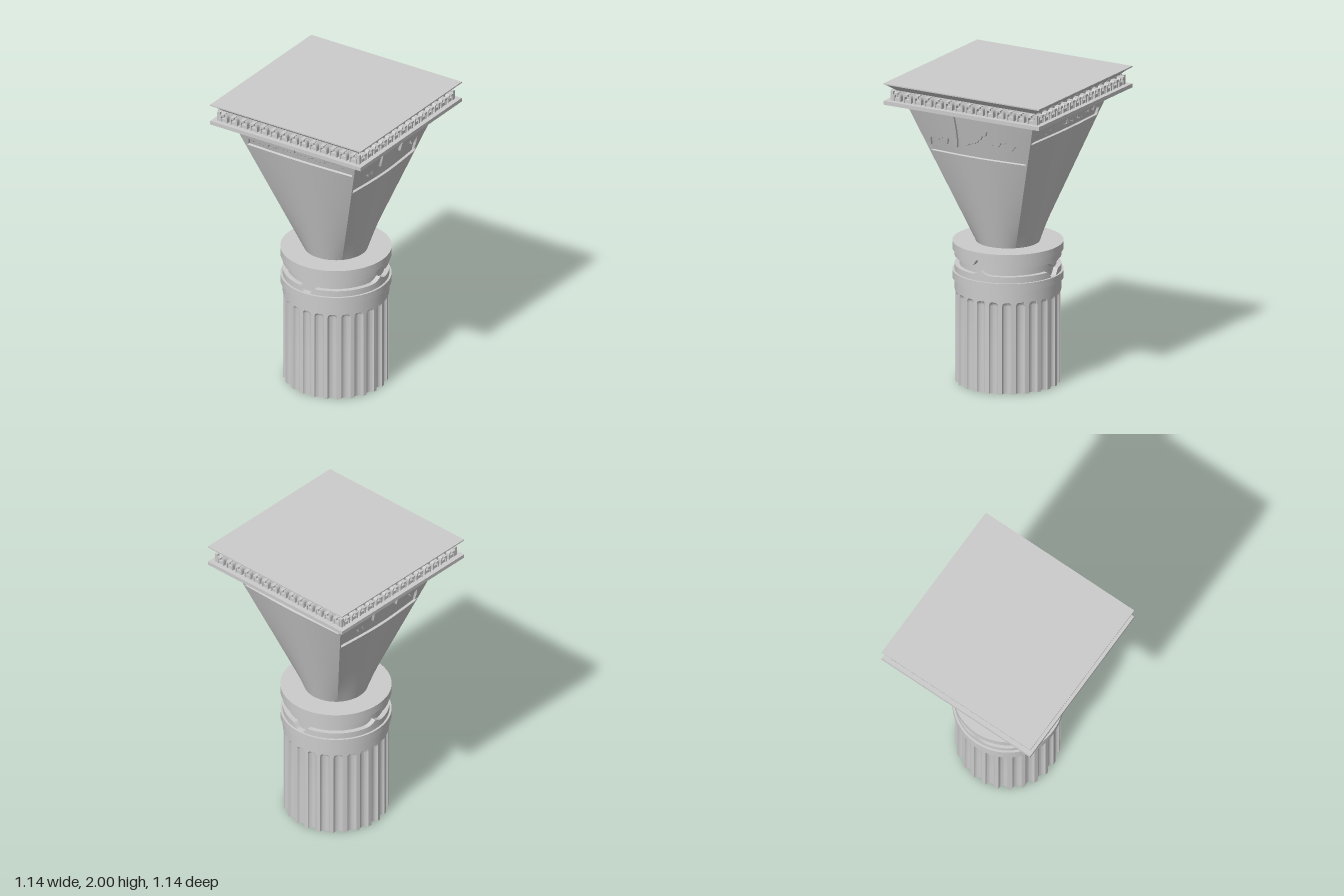
import * as THREE from 'three';
import { mergeGeometries, toCreasedNormals } from 'three/addons/utils/BufferGeometryUtils.js';

const grey = new THREE.MeshStandardMaterial({ color: 0xcccccc });

function add(parent, name, geometry, y = 0) {
  const mesh = new THREE.Mesh(geometry, grey);
  mesh.name = name;
  mesh.position.y = y;
  parent.add(mesh);
  return mesh;
}

// Surface through rows x cols points given by at(row, col); columns run counter-clockwise seen from above
function loft(rows, cols, at, crease = 0.6) {
  const pos = [], index = [];
  for (let i = 0; i < rows; i++) for (let j = 0; j < cols; j++) pos.push(...at(i, j));
  for (let i = 0; i < rows - 1; i++) {
    for (let j = 0; j < cols - 1; j++) {
      const a = i * cols + j, b = a + 1, d = a + cols, c = d + 1;
      index.push(a, b, c, a, c, d);
    }
  }
  const g = new THREE.BufferGeometry();
  g.setAttribute('position', new THREE.Float32BufferAttribute(pos, 3));
  g.setIndex(index);
  return toCreasedNormals(g, crease);
}

const polar = (r, y, a) => [r * Math.sin(a), y, r * Math.cos(a)];

// Piecewise linear lookup in [x, y] pairs
function lookup(points, x) {
  if (x <= points[0][0]) return points[0][1];
  for (let i = 1; i < points.length; i++) {
    const [x0, y0] = points[i - 1], [x1, y1] = points[i];
    if (x <= x1) return y0 + (y1 - y0) * (x - x0) / (x1 - x0);
  }
  return points[points.length - 1][1];
}

// Shaft with round-topped flutes
function flutedShaft() {
  const R = 0.33, N = 24, half = 0.03, step = Math.PI * 2 / N;
  const offs = [-0.5, -0.35, -0.32, -0.26, -0.18, -0.09, 0, 0.09, 0.18, 0.26, 0.32, 0.35];
  const ys = [0, 0, 0.3, 0.57, 0.577, 0.583, 0.588, 0.592, 0.595, 0.598, 0.6, 0.61];
  return loft(ys.length, N * offs.length + 1, (i, j) => {
    if (i === 0) return [0, 0, 0];
    const off = offs[j % offs.length];
    const arc = off * step * R, up = Math.max(0, ys[i] - 0.57);
    const depth = 0.75 * Math.sqrt(Math.max(0, half * half - arc * arc - up * up));
    return polar(R - depth, ys[i], (Math.floor(j / offs.length) + off) * step);
  });
}

// Raised collar whose bottom and top edges vary with the angle
function band(bottom, top) {
  const n = 288, radii = [0.3, 0.336, 0.336, 0.3];
  return loft(4, n + 1, (i, j) => {
    const a = j / n * Math.PI * 2;
    return polar(radii[i], i < 2 ? bottom(a) : top(a), a);
  });
}
// Arc distance to the nearest point on the z axis, or on the x axis
const fromZ = a => 0.336 * Math.abs(Math.asin(Math.sin(a)));
const fromX = a => 0.336 * Math.abs(Math.asin(Math.cos(a)));
const cusp = d => Math.max(0, 1 - d / 0.08) ** 2;
const opening = d => 1 - THREE.MathUtils.smoothstep(d, 0.02, 0.065);

// Skyline outlines as [position, height]
const tallSkyline = [[-.36, 1.59], [-.34, 1.645], [-.3, 1.63], [-.26, 1.655], [-.245, 1.61], [-.22, 1.66], [-.2, 1.61],
  [-.165, 1.6], [-.15, 1.66], [-.138, 1.74], [-.133, 1.83], [-.122, 1.83], [-.117, 1.74], [-.112, 1.635], [-.08, 1.62],
  [-.05, 1.64], [0, 1.65], [.02, 1.66], [.06, 1.69], [.08, 1.715], [.105, 1.715], [.11, 1.75], [.127, 1.75],
  [.132, 1.66], [.17, 1.66], [.19, 1.645], [.215, 1.68], [.25, 1.685], [.29, 1.64], [.32, 1.68], [.34, 1.63], [.36, 1.57]];
const lowSkyline = [[-.41, 1.7], [-.385, 1.75], [-.31, 1.745], [-.27, 1.735], [-.24, 1.765], [-.22, 1.745], [-.17, 1.765],
  [-.1, 1.755], [-.03, 1.755], [-.02, 1.79], [-.005, 1.75], [.06, 1.76], [.1, 1.745], [.14, 1.765], [.18, 1.745],
  [.23, 1.75], [.26, 1.775], [.3, 1.765], [.34, 1.78], [.35, 1.755], [.4, 1.76], [.41, 1.72]];

// One side of the circle-to-square funnel, with a recess from a ledge up to the skyline
function funnelSide(ledge, skyline, width, rough) {
  const y0 = 0.915, y1 = 1.87, cols = 181, lower = 9;
  return loft(lower + 4, cols, (i, j) => {
    const u = j / (cols - 1) * 2 - 1, a = u * Math.PI / 4;
    const jag = rough * (Math.sin(j * 2.3) + Math.sin(j * 0.9));
    const sky = Math.max(ledge + 0.012, lookup(skyline, u * width) + jag);
    const y = i < lower ? y0 + (ledge - y0) * i / (lower - 1) : [ledge + 0.004, sky, sky, y1][i - lower];
    const t = (y - y0) / (y1 - y0);
    const inset = (i === lower || i === lower + 1) && Math.abs(u) < 0.975 ? 0.018 : 0;
    return [
      THREE.MathUtils.lerp(0.2 * Math.sin(a), 0.47 * Math.tan(a), t), y,
      THREE.MathUtils.lerp(0.2 * Math.cos(a), 0.47, t) - inset
    ];
  }, 0.5);
}

// Row of small arched niches along one side of the cap
function archRow() {
  const shape = new THREE.Shape();
  shape.moveTo(-0.028, 0).lineTo(-0.028, 0.032).absarc(0, 0.032, 0.028, Math.PI, 0, true);
  shape.lineTo(0.028, 0).lineTo(0.018, 0).lineTo(0.018, 0.03).absarc(0, 0.03, 0.018, 0, Math.PI, false);
  shape.lineTo(-0.018, 0);
  const parts = [];
  for (let i = 0; i < 14; i++) {
    const x = (i - 6.5) * 0.0755;
    parts.push(
      new THREE.ExtrudeGeometry(shape, { depth: 0.04, bevelEnabled: false, curveSegments: 6 })
        .toNonIndexed?.().translate(x, 1.884, 0.5),
      new THREE.BoxGeometry(0.034, 0.022, 0.03).toNonIndexed().translate(x, 1.895, 0.52),
      new THREE.BoxGeometry(0.026, 0.014, 0.05).toNonIndexed().translate(x, 1.938, 0.53)
    );
  }
  return mergeGeometries(parts);
}

export function createModel() {
  const model = new THREE.Group();
  model.name = 'columnWithFlaredCapital';

  // Column
  add(model, 'flutedShaft', flutedShaft());
  const disc = (name, r, from, to) =>
    add(model, name, new THREE.CylinderGeometry(r, r, to - from, 96), (from + to) / 2);
  disc('shaftCollar', 0.335, 0.6, 0.685);
  disc('lowerRing', 0.35, 0.68, 0.73);
  disc('grooveCore', 0.305, 0.72, 0.88);
  disc('upperRing', 0.35, 0.868, 0.92);
  add(model, 'lowerBand', band(() => 0.728,
    a => 0.77 - 0.041 * opening(fromZ(a)) + 0.027 * cusp(fromX(a))));
  add(model, 'upperBand', band(
    a => 0.825 - 0.03 * cusp(fromZ(a)) + 0.044 * opening(fromX(a)), () => 0.87));

  // Funnel and arches: each side turned about the axis
  const lowSide = funnelSide(1.7, lowSkyline, 0.425, 0.005);
  const tallSide = funnelSide(1.545, tallSkyline, 0.385, 0.003);
  const arches = archRow();
  for (let k = 0; k < 4; k++) {
    const side = new THREE.Group();
    side.name = 'capitalSide';
    side.rotation.y = k * Math.PI / 2;
    add(side, 'funnelSide', k % 2 ? tallSide : lowSide);
    add(side, 'archRow', arches);
    const post = add(side, 'cornerPost', new THREE.BoxGeometry(0.02, 0.065, 0.02), 1.914);
    post.position.x = post.position.z = 0.528;
    model.add(side);
  }

  // Square cap
  add(model, 'capLowerSlab', new THREE.BoxGeometry(1.14, 0.025, 1.14), 1.8725);
  add(model, 'capCore', new THREE.BoxGeometry(1.025, 0.07, 1.025), 1.914);
  const flare = new THREE.CylinderGeometry(0.565 * Math.SQRT2, 0.505 * Math.SQRT2, 0.05, 4).rotateY(Math.PI / 4);
  add(model, 'capFlare', toCreasedNormals(flare, 0.3), 1.969);
  add(model, 'capTop', new THREE.BoxGeometry(1.14, 0.008, 1.14), 1.996);
  return model;
}
